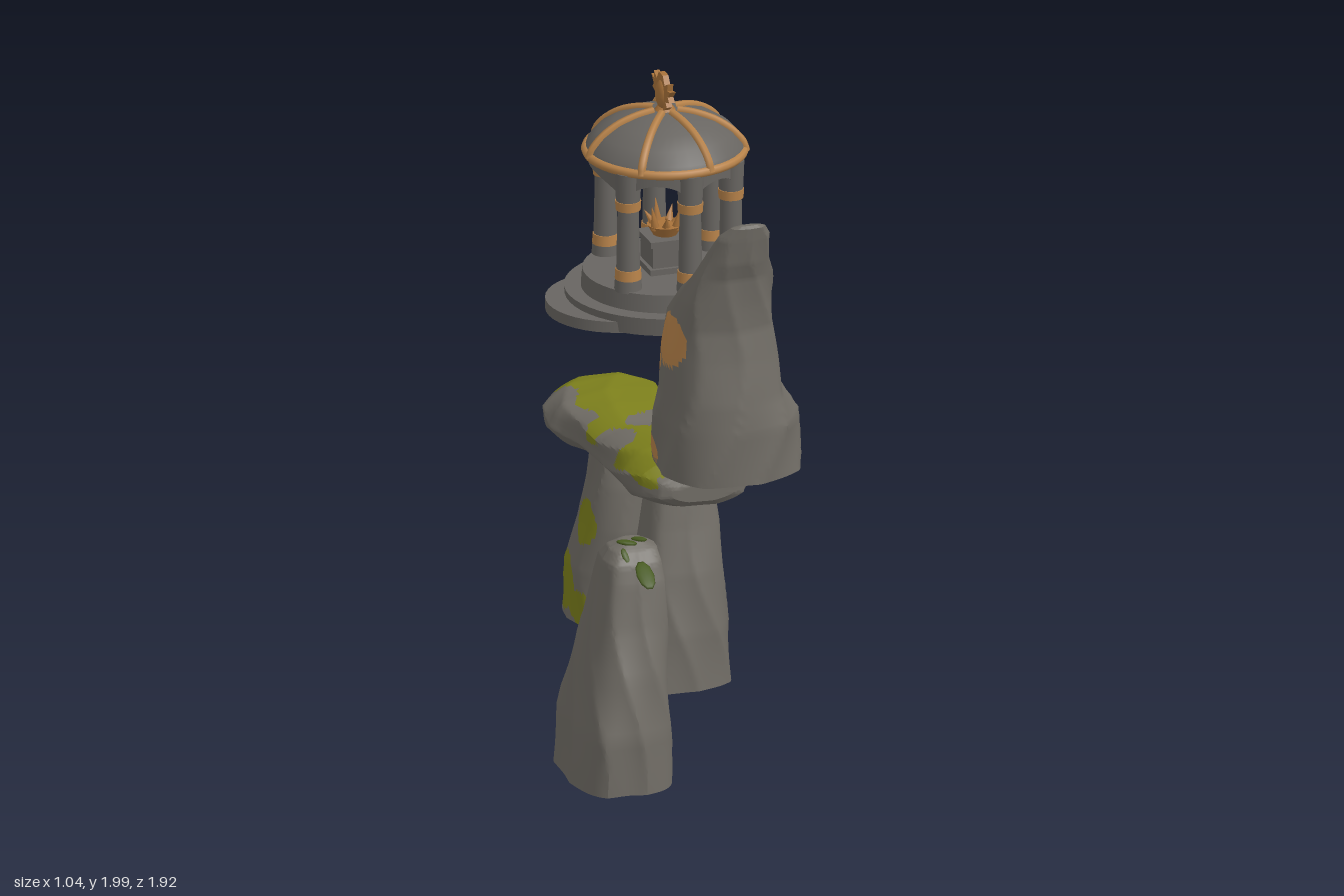
import * as THREE from 'three';
import { toCreasedNormals } from 'three/addons/utils/BufferGeometryUtils.js';

const mat = (name, color, side = THREE.FrontSide) => {
  const m = new THREE.MeshStandardMaterial({ color, side });
  m.name = name;
  return m;
};

export function createModel() {
  const rock = mat('rock grey', 0x716d66);
  const stone = mat('cut stone grey', 0x686561, THREE.DoubleSide);
  const moss = mat('moss green', 0x7d801c);
  const ochre = mat('ochre', 0xb8834a);
  const bronze = mat('bronze', 0xa8723a);
  const leaf = mat('leaf green', 0x46591f);
  const model = new THREE.Group();

  const add = (parent, name, geo, material, x = 0, y = 0, z = 0) => {
    const m = new THREE.Mesh(geo, material);
    m.name = name;
    m.position.set(x, y, z);
    parent.add(m);
    return m;
  };

  // Lofted boulder: sections are [t, x0, x1, b0, b1]; t runs along y (b = z) or along z (b = y).
  // Faces inside one of the paint patches go to the second material.
  function boulder(name, sections, painted, paint, { axis = 'y', seed = 0, power = 2.8, sides = 8, steps = 7 } = {}) {
    const N = 80, rings = [];
    const place = (x, b, t) => axis === 'y' ? new THREE.Vector3(x, t, b) : new THREE.Vector3(x, b, t);
    const ring = (s, shrink = 1) => {
      const pts = [];
      for (let i = 0; i < N; i++) {
        const a = i / N * Math.PI * 2, c = Math.cos(a), d = Math.sin(a);
        const step = Math.PI * 2 / sides;
        const turn = (((a + seed + 0.5 * Math.sin(s[0] * 5 + seed)) % step) + step) % step;
        const facet = Math.cos(step / 2) / Math.cos(turn - step / 2);
        const r = shrink * (0.35 + 0.65 * facet) * 1.01 *
          Math.pow(Math.abs(c) ** power + Math.abs(d) ** power, -1 / power) *
          (1 - 0.02 * (1 + Math.sin(3 * a + seed * 2 + s[0] * 9)));
        pts.push(place((s[1] + s[2]) / 2 + (s[2] - s[1]) / 2 * c * r,
          (s[3] + s[4]) / 2 + (s[4] - s[3]) / 2 * d * r, s[0]));
      }
      return pts;
    };
    const first = sections[0], last = sections[sections.length - 1];
    for (const k of [0, 0.35, 0.7]) rings.push(ring(first, k));
    for (let j = 0; j < sections.length - 1; j++)
      for (let k = 0; k < steps; k++)
        rings.push(ring(sections[j].map((v, i) => v + (sections[j + 1][i] - v) * k / steps)));
    for (const k of [1, 0.7, 0.35, 0]) rings.push(ring(last, k));

    const plain = [], coloured = [];
    const mid = new THREE.Vector3();
    const tri = (a, b, c) => {
      if (a.equals(b) || b.equals(c) || a.equals(c)) return;
      mid.copy(a).add(b).add(c).divideScalar(3);
      const list = painted(mid) ? coloured : plain;
      for (const p of axis === 'y' ? [a, b, c] : [a, c, b]) list.push(p.x, p.y, p.z);
    };
    for (let j = 0; j < rings.length - 1; j++)
      for (let i = 0; i < N; i++) {
        const k = (i + 1) % N, A = rings[j], B = rings[j + 1];
        tri(A[i], B[i], B[k]);
        tri(A[i], B[k], A[k]);
      }
    const geo = new THREE.BufferGeometry();
    geo.setAttribute('position', new THREE.Float32BufferAttribute(plain.concat(coloured), 3));
    geo.addGroup(0, plain.length / 3, 0);
    geo.addGroup(plain.length / 3, coloured.length / 3, 1);
    return add(model, name, toCreasedNormals(geo, 0.55), [rock, paint]);
  }
  // Patches are ellipsoids [x, y, z, rx, ry, rz]
  const patches = (...list) => p => list.some(([x, y, z, a, b, c]) =>
    ((p.x - x) / a) ** 2 + ((p.y - y) / b) ** 2 + ((p.z - z) / c) ** 2 < 1);

  // Tall leaning standing stone
  boulder('tallStone', [
    [1.09, -0.245, 0.24, 0.49, 0.96], [1.27, -0.245, 0.24, 0.495, 0.955], [1.36, -0.23, 0.185, 0.535, 0.945],
    [1.5, -0.22, 0.165, 0.535, 0.925], [1.61, -0.205, 0.145, 0.545, 0.915], [1.7, -0.185, 0.13, 0.63, 0.92],
    [1.8, -0.15, 0.115, 0.76, 0.925], [1.86, -0.125, 0.095, 0.8, 0.945], [1.95, -0.095, 0.085, 0.87, 0.96],
    [1.99, -0.06, 0.06, 0.92, 0.965], [2.0, -0.03, 0.03, 0.94, 0.96]],
  patches([-0.03, 1.91, 0.84, 0.06, 0.045, 0.06], [-0.04, 1.81, 0.78, 0.065, 0.035, 0.06],
    [-0.2, 1.55, 0.74, 0.06, 0.09, 0.11], [-0.17, 1.46, 0.63, 0.06, 0.07, 0.07],
    [-0.23, 1.14, 0.64, 0.06, 0.04, 0.05], [-0.16, 1.14, 0.53, 0.05, 0.04, 0.06],
    [-0.05, 1.14, 0.5, 0.05, 0.04, 0.05]), ochre, { seed: 0.4, power: 2.4 });

  // Small standing stone
  boulder('smallStone', [
    [0.01, -0.515, -0.185, 0.335, 0.845], [0.2, -0.5, -0.185, 0.345, 0.845], [0.4, -0.465, -0.185, 0.41, 0.805],
    [0.55, -0.435, -0.185, 0.46, 0.765], [0.7, -0.405, -0.19, 0.48, 0.735], [0.76, -0.395, -0.2, 0.51, 0.715],
    [0.8, -0.37, -0.21, 0.55, 0.68], [0.82, -0.33, -0.25, 0.58, 0.65]],
  patches([-0.2, 0.68, 0.51, 0.08, 0.08, 0.05], [-0.2, 0.6, 0.495, 0.08, 0.06, 0.04],
    [-0.2, 0.475, 0.505, 0.08, 0.042, 0.028]), ochre, { seed: 1.3, power: 3.4 });

  // Trilithon: two uprights and a lintel
  boulder('frontUpright', [
    [0.01, -0.055, 0.305, -0.335, 0], [0.2, -0.035, 0.305, -0.335, -0.015], [0.4, -0.005, 0.285, -0.325, -0.045],
    [0.55, 0.015, 0.28, -0.305, -0.08], [0.65, 0.03, 0.265, -0.285, -0.1]],
  patches([-0.04, 0.1, -0.2, 0.06, 0.11, 0.11], [0, 0.36, -0.14, 0.045, 0.11, 0.09],
    [0.1, 0.09, -0.33, 0.11, 0.07, 0.06]), moss, { seed: 2.1, steps: 12 });
  boulder('backUpright', [
    [0.01, -0.04, 0.305, -0.96, -0.605], [0.2, -0.035, 0.315, -0.945, -0.6], [0.35, -0.005, 0.32, -0.9, -0.59],
    [0.5, 0.015, 0.3, -0.855, -0.6], [0.65, 0.03, 0.27, -0.81, -0.625]],
  patches([-0.02, 0.13, -0.87, 0.1, 0.11, 0.13], [0.17, 0.13, -0.95, 0.13, 0.09, 0.07],
    [-0.02, 0.07, -0.7, 0.05, 0.06, 0.08], [0.01, 0.36, -0.72, 0.05, 0.08, 0.07]), moss, { seed: 3.2, steps: 12 });
  const lintelMoss = p => {
    const island = (p.x - 0.2) ** 2 / 0.02 + (p.z + 0.47) ** 2 / 0.004 < 1 ||
      (p.x + 0.02) ** 2 / 0.006 + (p.z + 0.38) ** 2 / 0.008 < 1;
    const edge = 0.765 - (p.x < 0.02 ? 0.035 : 0) + 0.012 * Math.sin(p.z * 27 + p.x * 9);
    return p.y > edge && p.x > (p.z < -0.55 ? -0.02 : -0.06) + 0.02 * Math.sin(p.z * 30) && !island;
  };
  boulder('lintel', [
    [-0.955, 0.04, 0.25, 0.66, 0.74], [-0.93, -0.05, 0.295, 0.63, 0.79], [-0.85, -0.105, 0.32, 0.61, 0.812],
    [-0.72, -0.115, 0.31, 0.61, 0.82], [-0.6, -0.07, 0.305, 0.62, 0.815], [-0.45, -0.055, 0.315, 0.622, 0.795],
    [-0.3, -0.055, 0.34, 0.62, 0.808], [-0.19, -0.055, 0.36, 0.618, 0.82], [-0.08, -0.03, 0.355, 0.63, 0.815],
    [-0.02, 0.02, 0.325, 0.65, 0.77], [-0.005, 0.06, 0.28, 0.67, 0.74]],
  lintelMoss, moss, { axis: 'z', seed: 0.9, power: 2.4 });

  // Leaves growing on the small stone: [x, y, z, length, tilt x, turn y]
  const leaves = new THREE.Group();
  leaves.name = 'leaves';
  model.add(leaves);
  const leafGeo = new THREE.SphereGeometry(1, 10, 6);
  [[-0.3, 0.755, 0.785, 0.06, 0.55, 0], [-0.33, 0.785, 0.68, 0.032, 0.9, 0.4], [-0.265, 0.785, 0.67, 0.032, 0.9, -0.4],
    [-0.32, 0.825, 0.655, 0.035, 0.1, 1.2], [-0.27, 0.822, 0.63, 0.03, -0.1, 0.7],
    [-0.31, 0.23, 0.315, 0.03, 0.2, 0.2], [-0.28, 0.39, 0.385, 0.035, -0.3, 0.6], [-0.33, 0.4, 0.4, 0.032, -0.9, -0.5],
    [-0.26, 0.56, 0.455, 0.028, -1.2, 0], [-0.3, 0.18, 0.35, 0.035, -1.4, 0.3], [-0.42, 0.3, 0.39, 0.03, -1.2, 0.6]
  ].forEach(([x, y, z, l, tilt, turn]) => {
    const m = add(leaves, 'leaf', leafGeo, leaf, x, y, z);
    m.scale.set(l * 0.5, 0.008, l);
    m.rotation.set(tilt, turn, 0, 'YXZ');
  });

  // Round temple
  const temple = new THREE.Group();
  temple.name = 'temple';
  temple.position.set(0.19, 0, -0.458);
  model.add(temple);
  const drum = (name, r, y0, y1, material, x = 0, z = 0, top = r, seg = 40) =>
    add(temple, name, new THREE.CylinderGeometry(top, r, y1 - y0, seg), material, x, (y0 + y1) / 2, z);
  drum('entranceStep', 0.235, 1.202, 1.24, stone, -0.165, 0);
  drum('base', 0.325, 1.205, 1.265, stone, 0, 0, 0.33, 48);
  drum('plinth', 0.275, 1.265, 1.325, stone, 0, 0, 0.27, 48);

  // Columns, with the widest gap left as an entrance
  const angles = [-128, -80, -31, 41, 88, 140].map(THREE.MathUtils.degToRad);
  const R = 0.232;
  for (const a of angles) {
    const x = R * Math.cos(a), z = R * Math.sin(a);
    drum('columnFoot', 0.046, 1.32, 1.36, stone, x, z, 0.043, 16);
    drum('lowerBand', 0.044, 1.36, 1.395, ochre, x, z, 0.042, 16);
    drum('columnShaft', 0.039, 1.395, 1.6, stone, x, z, 0.035, 16);
    drum('upperBand', 0.041, 1.6, 1.632, ochre, x, z, 0.043, 16);
    drum('capital', 0.04, 1.632, 1.73, stone, x, z, 0.044, 16);
  }

  // Curved arcade: a box section swept round, its underside rising into an arch in each gap
  angles.forEach((a0, i) => {
    const a1 = i < 5 ? angles[i + 1] : angles[0] + Math.PI * 2;
    const pos = [], idx = [], M = 20;
    for (let k = 0; k <= M; k++) {
      const t = k / M, a = a0 + (a1 - a0) * t;
      const low = 1.61 + 0.085 * Math.sqrt(Math.max(0, 1 - (2 * t - 1) ** 2));
      for (const [r, y] of [[0.215, 1.735], [0.25, 1.735], [0.25, low], [0.215, low]])
        pos.push(r * Math.cos(a), y, r * Math.sin(a));
      if (k < M) for (let s = 0; s < 4; s++) {
        const p = k * 4 + s, q = k * 4 + (s + 1) % 4;
        idx.push(p, p + 4, q, q, p + 4, q + 4);
      }
    }
    const geo = new THREE.BufferGeometry();
    geo.setAttribute('position', new THREE.Float32BufferAttribute(pos, 3));
    geo.setIndex(idx);
    add(temple, 'arch', toCreasedNormals(geo, 0.6), stone);
  });

  // Dome with rim and ribs
  const dome = [[0.265, 1.735], [0.255, 1.765], [0.22, 1.805], [0.165, 1.84], [0.1, 1.862], [0.04, 1.872]];
  add(temple, 'dome', new THREE.LatheGeometry([...dome, [0, 1.875]].map(p => new THREE.Vector2(...p)).reverse(), 42), stone);
  const rim = add(temple, 'domeRim', new THREE.TorusGeometry(0.258, 0.016, 8, 48), ochre, 0, 1.738, 0);
  rim.rotation.x = Math.PI / 2;
  const ribCurve = new THREE.CatmullRomCurve3(dome.map(([r, y]) => new THREE.Vector3(r, y, 0)));
  const ribGeo = new THREE.TubeGeometry(ribCurve, 16, 0.014, 6);
  for (let i = 0; i < 7; i++)
    add(temple, 'domeRib', ribGeo, ochre).rotation.y = THREE.MathUtils.degToRad(80) + i * Math.PI * 2 / 7;

  // Crest: a slim body with a fan of plumes to each side
  drum('crestFoot', 0.04, 1.865, 1.89, bronze, 0, 0, 0.022, 12);
  const body = add(temple, 'crestBody', new THREE.SphereGeometry(1, 12, 10), bronze, -0.005, 1.925, 0);
  body.scale.set(0.026, 0.055, 0.04);
  const half = [[0.028, 1.88], [0.06, 1.9], [0.05, 1.915], [0.085, 1.925], [0.07, 1.94], [0.095, 1.965],
    [0.065, 1.96], [0.07, 1.985], [0.04, 1.97], [0.02, 1.998]];
  const fan = new THREE.Shape([...half, ...half.map(([z, y]) => [-z, y]).reverse()].map(p => new THREE.Vector2(...p)));
  const plumes = add(temple, 'crestPlumes',
    new THREE.ExtrudeGeometry(fan, { depth: 0.02, bevelEnabled: false }), bronze, -0.015, 0, 0);
  plumes.rotation.y = Math.PI / 2;

  // Altar with a flaming bowl
  const block = (name, w, y0, y1) =>
    add(temple, name, new THREE.BoxGeometry(w, y1 - y0, w), stone, 0, (y0 + y1) / 2, 0);
  block('altarFoot', 0.15, 1.325, 1.345);
  block('altar', 0.125, 1.345, 1.42);
  block('altarSlab', 0.145, 1.42, 1.44);
  drum('bowl', 0.04, 1.44, 1.475, bronze, 0, 0, 0.06, 16);
  for (let i = 0; i < 7; i++) {
    const a = i * Math.PI * 2 / 7, holder = new THREE.Group();
    holder.name = 'flame';
    holder.position.set(0.04 * Math.cos(a), 1.465, 0.04 * Math.sin(a));
    holder.rotation.y = -a;
    temple.add(holder);
    const tall = i % 2 ? 0.085 : 0.06;
    const tongue = add(holder, 'flameTongue', new THREE.ConeGeometry(0.016, tall, 6), bronze, 0.012, tall / 2, 0);
    tongue.rotation.z = i % 2 ? -0.2 : -0.6;
  }
  return model;
}
